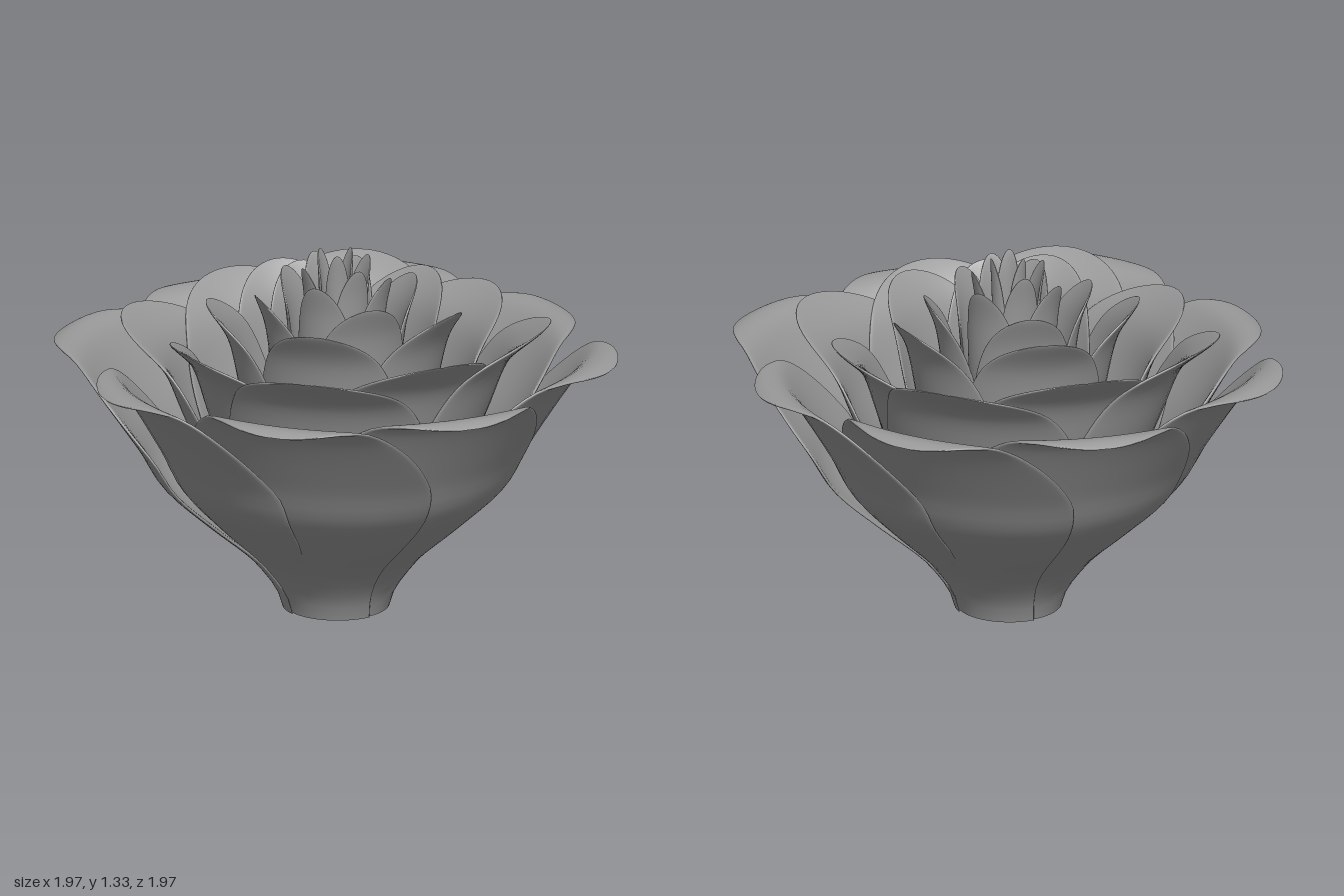
import * as THREE from 'three';

const petalMaterial = new THREE.MeshStandardMaterial({ color: 0x999999 });
petalMaterial.name = 'petal grey';

const ROWS = 36, LOOP = 44, TILT = -0.075, CAP = 0.5;

// Petal profiles as fractions of the way from base to tip: x is radius, y is height
const toCurve = (points) => points.map(([x, y]) => new THREE.Vector2(x, y));
const OPEN = toCurve([[0, 0], [0.03, 0.085], [0.13, 0.21], [0.33, 0.37], [0.51, 0.53], [0.62, 0.7], [0.82, 0.96], [0.92, 1.01], [1, 1]]);
const CUPPED = toCurve([[0, 0], [0.12, 0.15], [0.4, 0.4], [0.6, 0.68], [0.75, 0.88], [1, 1]]);

// One petal: an elliptical cross-section swept up the profile and wrapped around the axis
function petalGeometry({ shape, from, to, width }) {
  const [r0, y0] = from, [r1, y1] = to;
  const curve = new THREE.SplineCurve(shape.map((p) =>
    new THREE.Vector2(r0 + (r1 - r0) * p.x, y0 + (y1 - y0) * p.y)));
  const base = r0 * 0.88, thick = 0.011 + 0.023 * width;
  const positions = [], index = [];
  for (let i = 0; i <= ROWS; i++) {
    const s = i / ROWS;
    const v = Math.min(0.9995, Math.sin(s * Math.PI / 2));
    const p = curve.getPointAt(v), t = curve.getTangentAt(v);
    // width swells from the base, then closes in a rounded tip
    let w = base + (width - base) * THREE.MathUtils.smoothstep(v, 0, 0.65);
    if (v > CAP) w *= Math.sqrt(1 - Math.pow((v - CAP) / (1 - CAP), 2.6));
    const half = thick / 2 * Math.min(1, s * 12) * Math.sqrt(1 - Math.pow(v, 16));
    for (let j = 0; j < LOOP; j++) {
      const th = j / LOOP * Math.PI * 2;
      const u = Math.cos(th), sn = Math.sin(th);
      const side = Math.sign(sn) * Math.sqrt(Math.abs(sn)) * half;
      // one edge leans outward so neighbours overlap like a spiral
      const r = p.x * (1 + TILT * u * Math.min(1, w / width)) + t.y * side;
      const a = u * w / p.x;
      positions.push(r * Math.cos(a), Math.max(0, p.y - t.x * side), r * Math.sin(a));
    }
  }
  for (let i = 0; i < ROWS; i++) {
    for (let j = 0; j < LOOP; j++) {
      const a = i * LOOP + j, b = i * LOOP + (j + 1) % LOOP;
      index.push(a, b, b + LOOP, a, b + LOOP, a + LOOP);
    }
  }
  const g = new THREE.BufferGeometry();
  g.setAttribute('position', new THREE.Float32BufferAttribute(positions, 3));
  g.setIndex(index);
  g.computeVertexNormals();
  return g;
}

// Rings from the outside to the heart; angles in degrees from +x towards +z, from/to are [radius, height]
const RINGS = [
  { name: 'outerPetal', shape: OPEN, count: 4, angle: 22, from: [0.19, 0], to: [1.01, 0.955], width: 0.49 },
  { name: 'outerSidePetal', shape: OPEN, count: 4, angle: 69, from: [0.185, 0], to: [0.96, 0.935], width: 0.49 },
  { name: 'middlePetal', shape: CUPPED, count: 4, angle: 17, from: [0.165, 0.01], to: [0.765, 1.08], width: 0.41 },
  { name: 'middleSidePetal', shape: CUPPED, count: 4, angle: 65, from: [0.155, 0.02], to: [0.68, 1.08], width: 0.4 },
  { name: 'innerPetal', shape: CUPPED, count: 5, angle: 37, from: [0.13, 0.06], to: [0.47, 1.16], width: 0.29 },
  { name: 'innerSidePetal', shape: CUPPED, count: 4, angle: 75, from: [0.1, 0.12], to: [0.31, 1.2], width: 0.21 },
  { name: 'heartPetal', shape: CUPPED, count: 4, angle: 30, from: [0.08, 0.25], to: [0.2, 1.25], width: 0.13 },
  { name: 'heartSidePetal', shape: CUPPED, count: 4, angle: 65, from: [0.055, 0.4], to: [0.14, 1.29], width: 0.085 },
  { name: 'budPetal', shape: CUPPED, count: 3, angle: 95, from: [0.03, 0.55], to: [0.065, 1.33], width: 0.055 },
];

export function createModel() {
  const flower = new THREE.Group();
  flower.name = 'flower';
  for (const ring of RINGS) {
    const group = new THREE.Group();
    group.name = ring.name + 'Ring';
    const geometry = petalGeometry(ring);
    for (let i = 0; i < ring.count; i++) {
      const petal = new THREE.Mesh(geometry, petalMaterial);
      petal.name = ring.name;
      petal.rotation.y = -(ring.angle * Math.PI / 180 + i / ring.count * Math.PI * 2);
      group.add(petal);
    }
    flower.add(group);
  }
  return flower;
}
